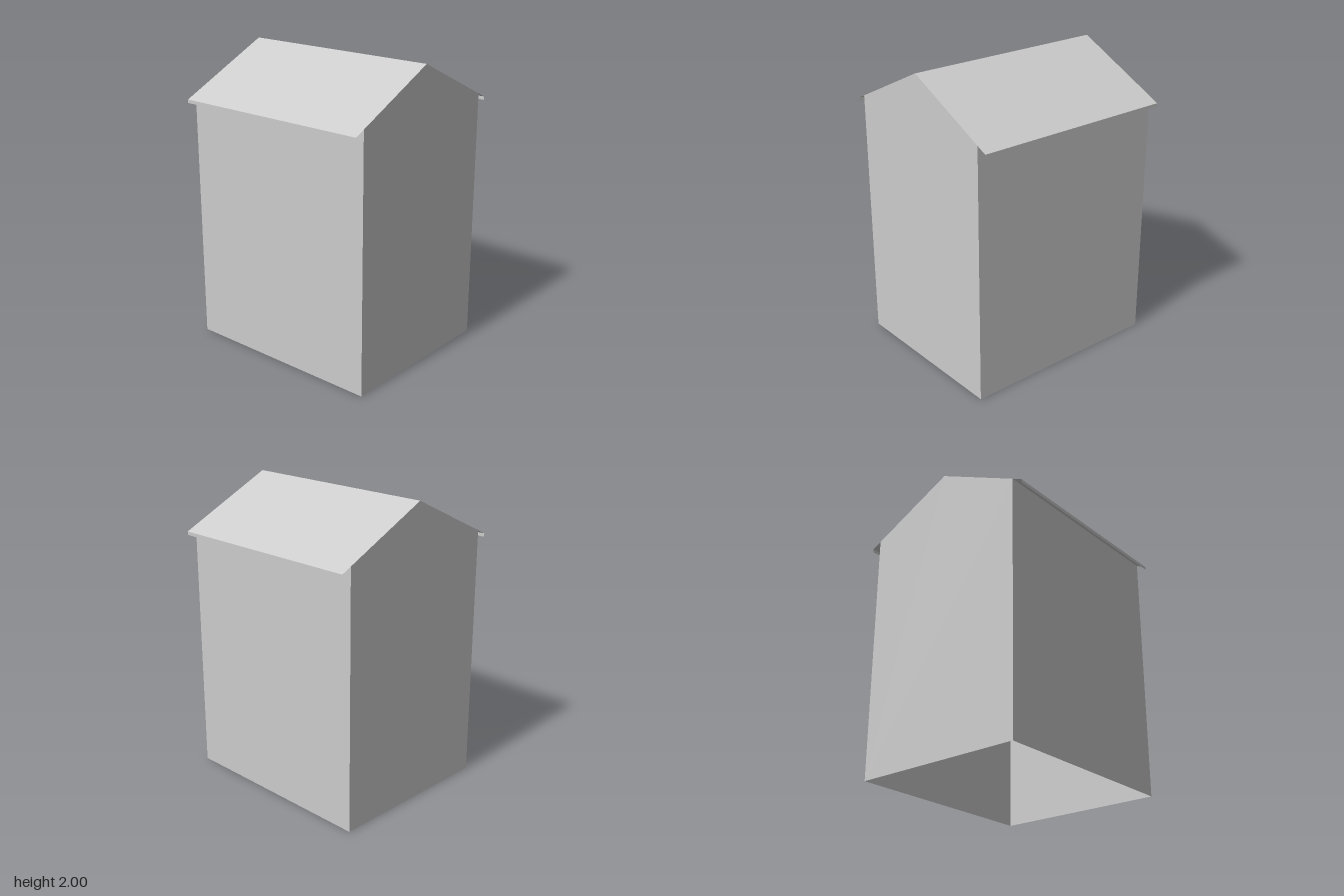
import * as THREE from 'three';

const W = 0.707;          // half width along x
const D = 0.593;          // half depth of the walls
const EAVE_Z = 0.662;     // half depth of the roof
const TOP = 2, WALL_Y = 1.716, EAVE_Y = 1.683, FASCIA_Y = 1.66;

export function createModel() {
  const model = new THREE.Group();
  model.name = 'house';
  const grey = new THREE.MeshStandardMaterial({ color: 0xcccccc, side: THREE.DoubleSide });
  grey.name = 'light grey';

  const add = (name, geometry, parent = model) => {
    const mesh = new THREE.Mesh(geometry, grey);
    mesh.name = name;
    parent.add(mesh);
    return mesh;
  };

  // Sheet spanning the full width between two (y, z) lines, facing outward for +z
  const sheet = (y0, z0, y1, z1) => {
    const g = new THREE.BufferGeometry();
    g.setAttribute('position', new THREE.Float32BufferAttribute(
      [-W, y0, z0, W, y0, z0, W, y1, z1, -W, y1, z1], 3));
    g.setIndex([0, 1, 2, 0, 2, 3]);
    g.computeVertexNormals();
    return g;
  };

  // Long wall, roof slope and fascia, repeated for front and back
  ['front', 'back'].forEach((label, i) => {
    const side = new THREE.Group();
    side.name = label + 'Side';
    side.rotation.y = i * Math.PI;
    add(label + 'Wall', sheet(0, D, WALL_Y, D), side);
    add(label + 'Roof', sheet(EAVE_Y, EAVE_Z, TOP, 0), side);
    add(label + 'Fascia', sheet(FASCIA_Y, EAVE_Z, EAVE_Y, EAVE_Z), side);
    model.add(side);
  });

  // Gable end walls
  const gable = new THREE.Shape([[-D, 0], [D, 0], [D, WALL_Y], [0, TOP], [-D, WALL_Y]]
    .map(([x, y]) => new THREE.Vector2(x, y)));
  for (const s of [1, -1]) {
    const wall = add(s > 0 ? 'leftGable' : 'rightGable', new THREE.ShapeGeometry(gable));
    wall.rotation.y = s * Math.PI / 2;
    wall.position.x = s * W;
  }

  // Blocks on the inner face of the front wall: x range, y range, depth
  const blocks = [
    ['innerPanel', -0.11, 0.10, 0.29, 0.58, 0.056],
    ['innerSmallPanel', -0.52, -0.35, 0.41, 0.56, 0.036],
    ['innerShelf', -0.53, 0.53, 0.75, 0.95, 0.10],
  ];
  for (const [name, x0, x1, y0, y1, d] of blocks) {
    const block = add(name, new THREE.BoxGeometry(x1 - x0, y1 - y0, d));
    block.position.set((x0 + x1) / 2, (y0 + y1) / 2, D - 0.002 - d / 2);
  }
  return model;
}
